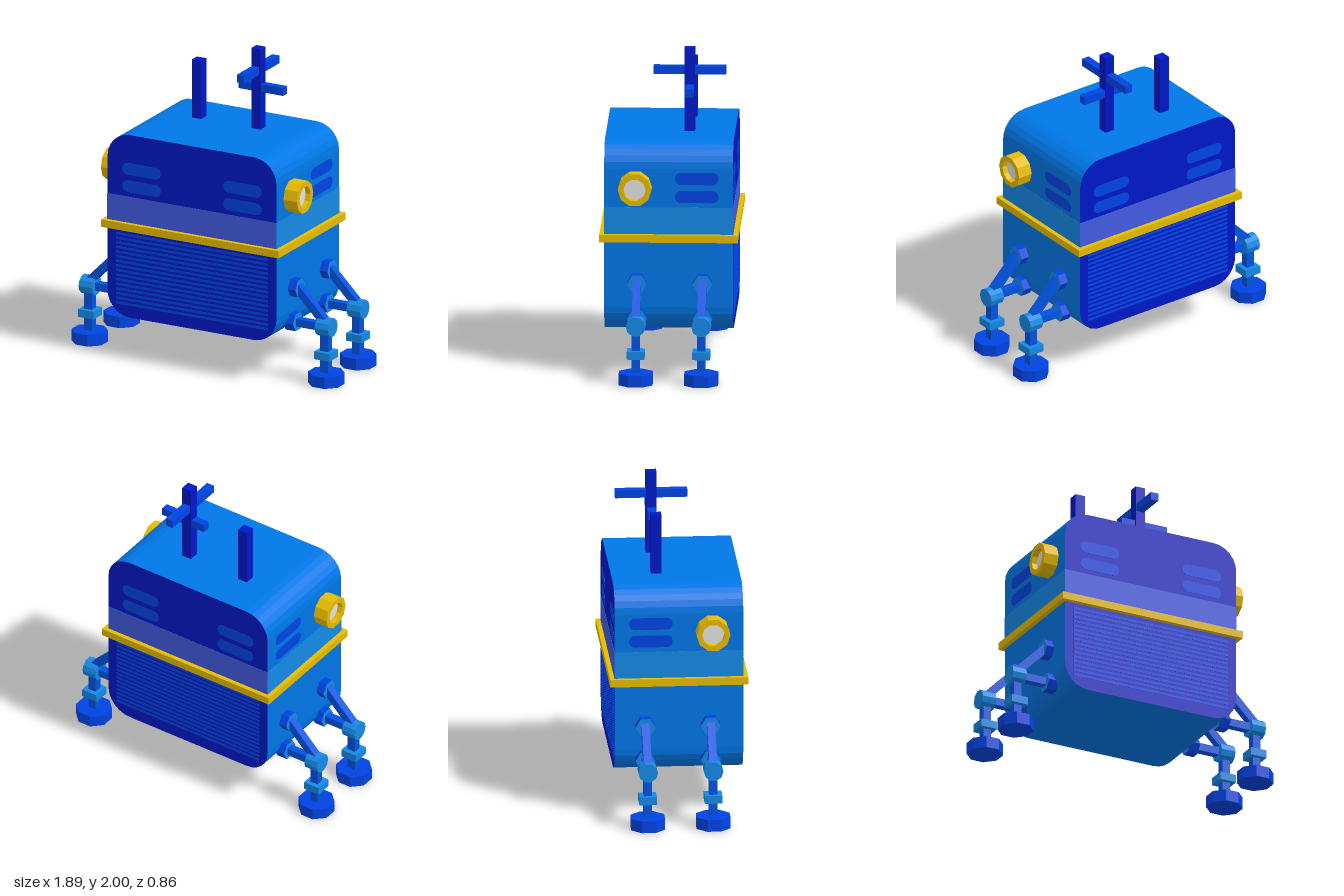
import * as THREE from 'three';

const mat = (name, color) => {
  const m = new THREE.MeshStandardMaterial({ color });
  m.name = name;
  return m;
};

// Rounded rectangle centred on the origin
function roundedRect(w, h, r) {
  const s = new THREE.Shape(), x = w / 2, y = h / 2;
  s.moveTo(-x + r, -y);
  s.lineTo(x - r, -y);
  s.absarc(x - r, -y + r, r, -Math.PI / 2, 0);
  s.lineTo(x, y - r);
  s.absarc(x - r, y - r, r, 0, Math.PI / 2);
  s.lineTo(-x + r, y);
  s.absarc(-x + r, y - r, r, Math.PI / 2, Math.PI);
  s.lineTo(-x, -y + r);
  s.absarc(-x + r, -y + r, r, Math.PI, Math.PI * 1.5);
  return s;
}

// Regular polygon path with a corner on the x axis
function polygon(target, r, n) {
  const pts = [];
  for (let i = 0; i < n; i++) {
    const a = (i / n) * Math.PI * 2;
    pts.push(new THREE.Vector2(r * Math.cos(a), r * Math.sin(a)));
  }
  return target.setFromPoints(pts);
}

// Flat-shaded upright prism
function prism(r, len, n) {
  const g = new THREE.CylinderGeometry(r, r, len, n).toNonIndexed();
  g.computeVertexNormals();
  return g;
}

export function createModel() {
  const model = new THREE.Group();
  const navy = mat('navy', 0x0018c8);
  const royal = mat('royal blue', 0x0044e4);
  const strutBlue = mat('strut blue', 0x0054e4);
  const azure = mat('azure', 0x0077e8);
  const sky = mat('sky blue', 0x168ceb);
  const paleNavy = mat('pale navy', 0x435be4);
  const gold = mat('gold', 0xe6bb00);
  const lensGrey = mat('lens grey', 0xe3e3e3);

  const add = (parent, name, geo, material, x = 0, y = 0, z = 0) => {
    const m = new THREE.Mesh(geo, material);
    m.name = name;
    m.position.set(x, y, z);
    parent.add(m);
    return m;
  };
  const box = (parent, name, material, w, h, d, x, y, z) =>
    add(parent, name, new THREE.BoxGeometry(w, h, d), material, x, y, z);

  // Body: dark end faces, lighter wrap-around shell
  const bodyGeo = new THREE.ExtrudeGeometry(roundedRect(1.2, 1.197, 0.16),
    { depth: 0.8, bevelEnabled: false, curveSegments: 3 });
  bodyGeo.translate(0, 0, -0.4);
  add(model, 'body', bodyGeo, [navy, azure], 0, 0.8765, 0);

  // Pale stripe and gold belt around the body
  box(model, 'paleStripe', [sky, sky, sky, sky, paleNavy, paleNavy], 1.203, 0.17, 0.803, 0, 0.985, 0);
  box(model, 'belt', gold, 1.26, 0.048, 0.86, 0, 0.876, 0);

  // Grille slats and vents on front and back
  const ventGeo = new THREE.ExtrudeGeometry(roundedRect(0.27, 0.077, 0.036),
    { depth: 0.004, bevelEnabled: false, curveSegments: 3 });
  ventGeo.translate(0, 0, -0.002);
  for (const s of [1, -1]) {
    const face = new THREE.Group();
    face.name = s > 0 ? 'frontDetails' : 'backDetails';
    face.rotation.y = s > 0 ? 0 : Math.PI;
    for (let i = 0; i < 16; i++)
      box(face, 'grilleSlat', royal, 1.08, 0.016, 0.004, 0, 0.365 + i * 0.0302, 0.4);
    for (const x of [-0.358, 0.358])
      for (const y of [1.138, 1.252]) add(face, 'vent', ventGeo, royal, x, y, 0.4);
    model.add(face);
  }

  // Side vents and lamps
  const ring = polygon(new THREE.Shape(), 0.105, 10);
  ring.holes.push(polygon(new THREE.Path(), 0.07, 10));
  const ringGeo = new THREE.ExtrudeGeometry(ring, { depth: 0.1, bevelEnabled: false });
  const lensGeo = new THREE.CircleGeometry(0.071, 10);
  for (const s of [1, -1]) {
    for (const y of [1.138, 1.252])
      add(model, 'sideVent', ventGeo, royal, s * 0.6, y, -0.175).rotation.y = s * Math.PI / 2;
    const lamp = new THREE.Group();
    lamp.name = s > 0 ? 'leftLamp' : 'rightLamp';
    lamp.position.set(s * 0.596, 1.198, 0.208);
    lamp.rotation.y = s * Math.PI / 2;
    add(lamp, 'lampRing', ringGeo, gold);
    add(lamp, 'lens', lensGeo, lensGrey, 0, 0, 0.065);
    model.add(lamp);
  }

  // Antennas on the roof
  box(model, 'shortAntenna', navy, 0.066, 0.4, 0.066, -0.238, 1.655, -0.118);
  box(model, 'tallAntenna', navy, 0.066, 0.54, 0.066, 0.184, 1.73, -0.118);
  box(model, 'lowerCrossbar', royal, 0.316, 0.051, 0.051, 0.215, 1.745, -0.118);
  box(model, 'upperCrossbar', royal, 0.051, 0.051, 0.45, 0.182, 1.858, -0.118);

  // Legs, built for the +x side and turned round for the other
  const footGeo = prism(0.1137, 0.075, 8).rotateY(Math.PI / 8);
  const kneeGeo = prism(0.061, 0.096, 10).rotateZ(Math.PI / 2);
  const hubGeo = prism(0.062, 0.07, 6).rotateZ(Math.PI / 2);
  const hubMats = [royal, sky, sky];
  for (const s of [1, -1])
    for (const z of [0.195, -0.212]) {
      const leg = new THREE.Group();
      leg.name = (z > 0 ? 'front' : 'rear') + (s > 0 ? 'LeftLeg' : 'RightLeg');
      leg.position.z = z;
      leg.rotation.y = s > 0 ? 0 : Math.PI;
      add(leg, 'foot', footGeo, royal, 0.84, 0.0375, 0);
      box(leg, 'shin', strutBlue, 0.054, 0.28, 0.052, 0.838, 0.21, 0);
      box(leg, 'ankleCollar', sky, 0.11, 0.05, 0.11, 0.838, 0.19, 0);
      add(leg, 'knee', kneeGeo, sky, 0.838, 0.37, 0);
      box(leg, 'lowerStrut', strutBlue, 0.22, 0.05, 0.05, 0.7, 0.37, 0);
      // Diagonal strut from knee to upper hub
      const a = new THREE.Vector2(0.83, 0.405), b = new THREE.Vector2(0.625, 0.612);
      const strut = box(leg, 'diagonalStrut', strutBlue, a.distanceTo(b), 0.052, 0.05,
        (a.x + b.x) / 2, (a.y + b.y) / 2, 0);
      strut.rotation.z = Math.atan2(b.y - a.y, b.x - a.x);
      add(leg, 'upperHub', hubGeo, hubMats, 0.619, 0.595, 0);
      add(leg, 'lowerHub', hubGeo, hubMats, 0.603, 0.37, 0);
      model.add(leg);
    }

  return model;
}
